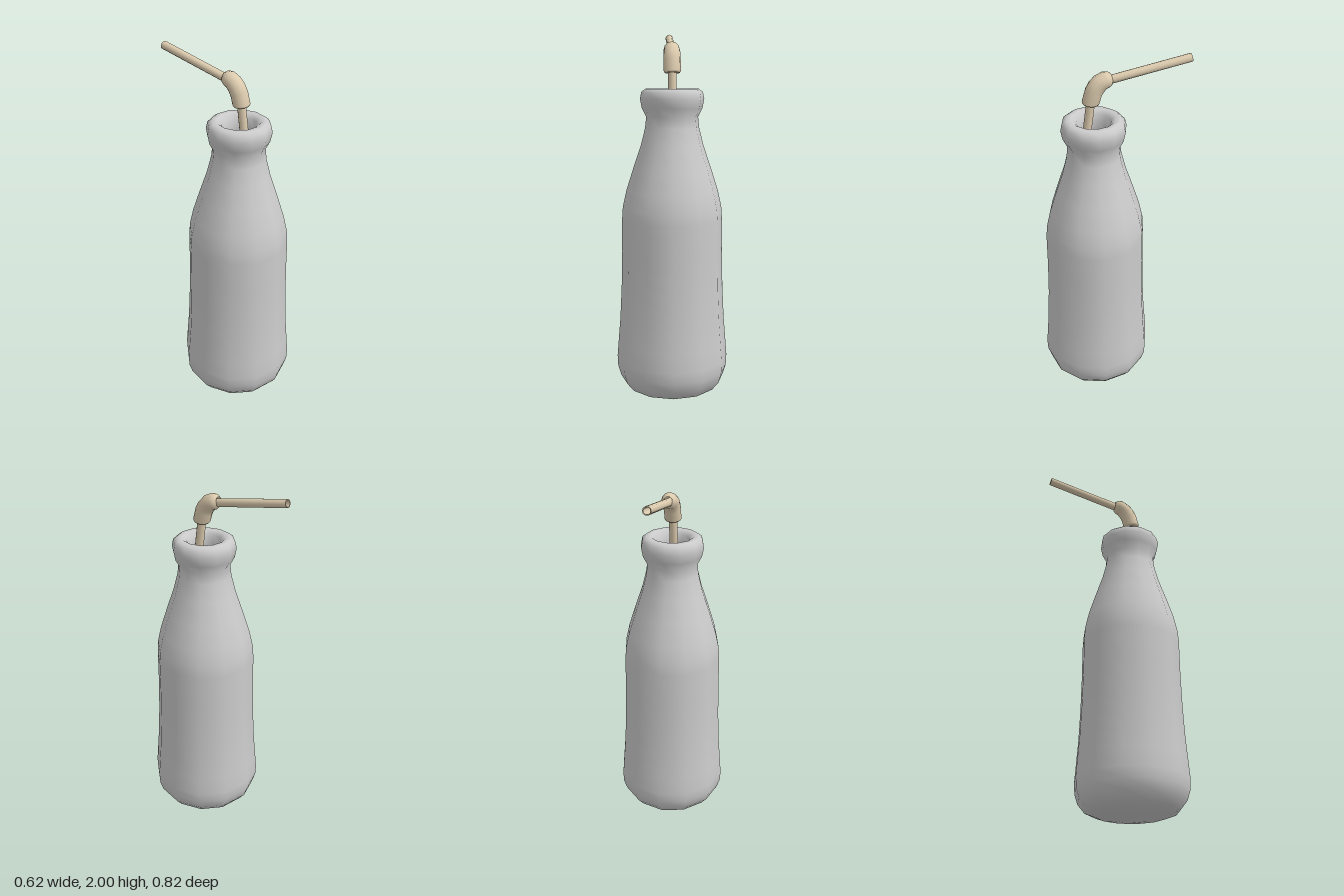
import * as THREE from 'three';

const SIDES = 12;
const AXIS_Z = 0.1; // the bottle stands forward of the centre, the straw leans back

function lathe(name, profile, material) {
  const points = profile.map(([r, y]) => new THREE.Vector2(r, y));
  const mesh = new THREE.Mesh(new THREE.LatheGeometry(points, SIDES), material);
  mesh.name = name;
  mesh.position.z = AXIS_Z;
  return mesh;
}

// Sweeps round sections along a path in the x = 0 plane; each ring is [z, y, radius, tilt].
// Repeating a ring makes a sharp edge.
function sweep(name, rings, material, sides = 12) {
  const pos = [], index = [];
  rings.forEach(([z, y, r, tilt], i) => {
    for (let j = 0; j < sides; j++) {
      const t = (j / sides) * Math.PI * 2;
      const n = r * Math.sin(t);
      pos.push(r * Math.cos(t), y + n * Math.sin(tilt), z - n * Math.cos(tilt));
      if (i === rings.length - 1) continue;
      const a = i * sides + j, b = i * sides + (j + 1) % sides;
      index.push(a, b, b + sides, a, b + sides, a + sides);
    }
  });
  const geo = new THREE.BufferGeometry();
  geo.setAttribute('position', new THREE.Float32BufferAttribute(pos, 3));
  geo.setIndex(index);
  geo.computeVertexNormals();
  const mesh = new THREE.Mesh(geo, material);
  mesh.name = name;
  return mesh;
}

export function createModel() {
  const group = new THREE.Group();
  const glass = new THREE.MeshStandardMaterial({ color: 0xcccccc });
  const juice = new THREE.MeshStandardMaterial({ color: 0xf08c1e });
  const paper = new THREE.MeshStandardMaterial({ color: 0xdccbae, side: THREE.DoubleSide });

  // Bottle: outer wall, rolled lip, then the inner wall down to the floor
  group.add(lathe('bottle', [
    [0, 0], [0.11, 0.005], [0.19, 0.015], [0.25, 0.038], [0.288, 0.085], [0.305, 0.14],
    [0.308, 0.2], [0.3, 0.3], [0.29, 0.42], [0.281, 0.6], [0.276, 0.8], [0.275, 0.98],
    [0.27, 1.05], [0.25, 1.14], [0.212, 1.26], [0.17, 1.385], [0.146, 1.48], [0.14, 1.54],
    [0.163, 1.585], [0.173, 1.635], [0.165, 1.672], [0.143, 1.688], [0.115, 1.688],
    [0.092, 1.668], [0.08, 1.62], [0.078, 1.55], [0.115, 1.48], [0.15, 1.385], [0.19, 1.26],
    [0.228, 1.14], [0.25, 1.0], [0.255, 0.7], [0.275, 0.3], [0.27, 0.13], [0.2, 0.05], [0, 0.04],
  ], glass));

  // Drink inside, with a flat top
  group.add(lathe('drink', [
    [0, 0.045], [0.19, 0.055], [0.262, 0.13], [0.267, 0.3], [0.247, 0.7], [0.242, 1.0],
    [0.22, 1.14], [0.205, 1.2], [0.205, 1.2], [0, 1.2],
  ], juice));

  // Straw: lower stem, bent sleeve and hollow mouthpiece
  const low = -0.13, high = -1.372;
  const straw = new THREE.Group();
  straw.name = 'straw';
  straw.add(sweep('strawStem', [[0.33, 0.12, 0.023, low], [0.108, 1.82, 0.023, low]], paper));
  straw.add(sweep('strawBend', [
    [0.115, 1.772, 0.022, low], [0.115, 1.772, 0.04, low], [0.113, 1.782, 0.046, low],
    [0.098, 1.835, 0.046, -0.4], [0.083, 1.862, 0.046, -0.6], [0.062, 1.885, 0.045, -0.8],
    [0.032, 1.899, 0.043, -1.15], [0.014, 1.903, 0.035, -1.3], [0.004, 1.905, 0.022, high],
  ], paper));
  const tip = [-0.404, 1.978];
  straw.add(sweep('strawMouthpiece', [
    [0.04, 1.89, 0.022, high], [...tip, 0.022, high], [...tip, 0.022, high],
    [...tip, 0.017, high], [...tip, 0.017, high], [0.0, 1.898, 0.017, high],
  ], paper));
  group.add(straw);
  return group;
}
